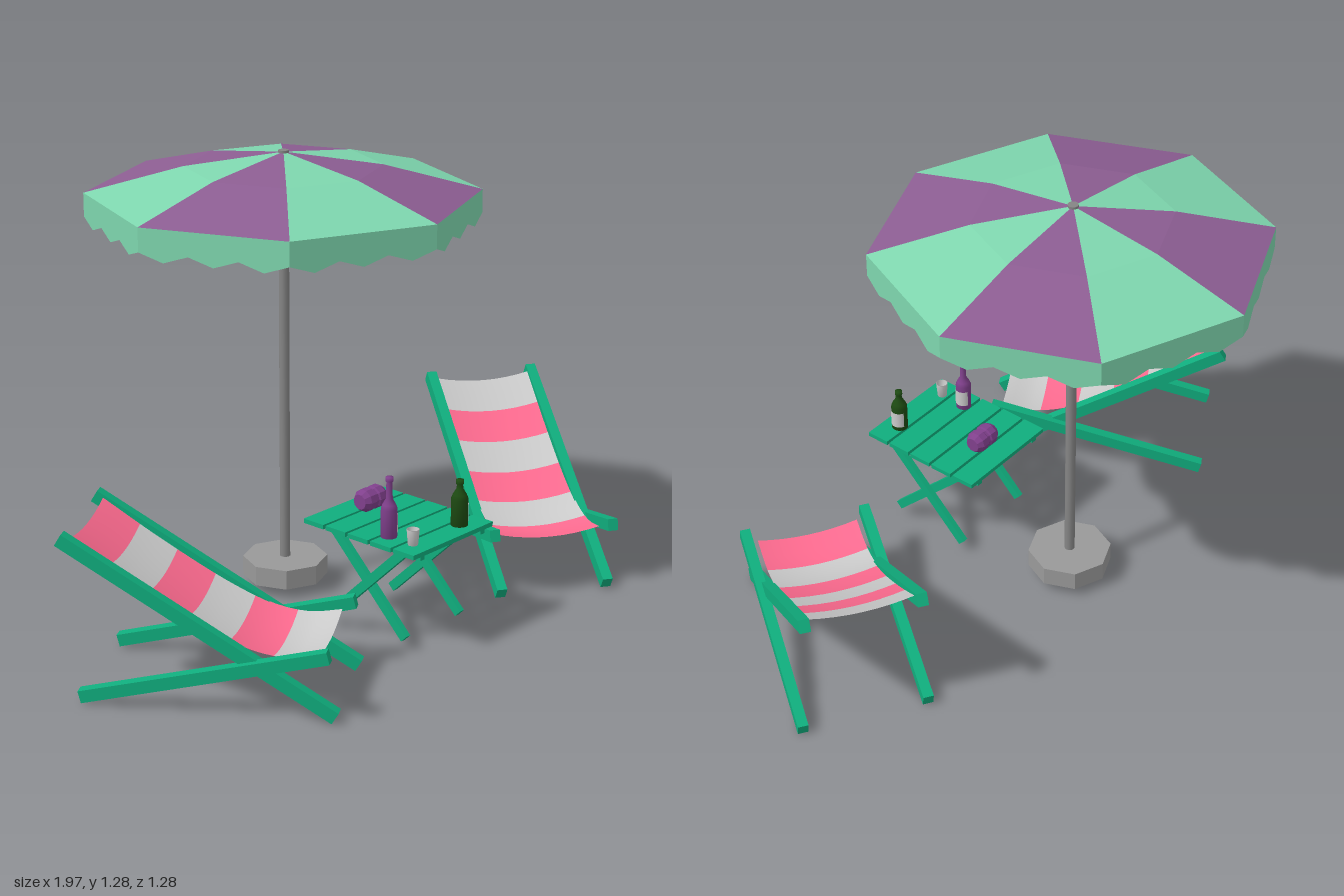
import * as THREE from 'three';
import { ParametricGeometry } from 'three/addons/geometries/ParametricGeometry.js';

const mat = (color, opts = {}) => new THREE.MeshStandardMaterial({ color, ...opts });
const flat = { flatShading: true };
const thin = { side: THREE.DoubleSide };
const M = {
  wood: mat(0x10ad7d, flat),
  mint: mat(0x7ed6ae, { ...flat, ...thin }),
  purple: mat(0x8c5d92, { ...flat, ...thin }),
  metal: mat(0x858585),
  stone: mat(0x999999, flat),
  grey: mat(0xcccccc, thin),
  pink: mat(0xff6b90, thin),
  plum: mat(0x80408c),
  plumFlat: mat(0x80408c, flat),
  bottleGreen: mat(0x1d4a12),
  cork: mat(0x4a3520),
};

const V = (x, y, z) => new THREE.Vector3(x, y, z);

function add(parent, name, geometry, material, x = 0, y = 0, z = 0) {
  const mesh = new THREE.Mesh(geometry, material);
  mesh.name = name;
  mesh.position.set(x, y, z);
  parent.add(mesh);
  return mesh;
}

// Square-section bar running between two points
function bar(parent, name, a, b, w, h) {
  const mesh = add(parent, name, new THREE.BoxGeometry(w, h, a.distanceTo(b)), M.wood);
  mesh.position.copy(a).add(b).multiplyScalar(0.5);
  mesh.lookAt(b);
  return mesh;
}

// Triangles given as a list of points
function facets(points) {
  const g = new THREE.BufferGeometry().setFromPoints(points);
  g.computeVertexNormals();
  return g;
}

function createUmbrella() {
  const g = new THREE.Group();
  g.name = 'umbrella';
  add(g, 'base', new THREE.CylinderGeometry(0.122, 0.122, 0.057, 8), M.stone, 0, 0.065, 0);
  add(g, 'pole', new THREE.CylinderGeometry(0.015, 0.015, 1.25, 12), M.metal, 0, 0.665, 0);

  const R = 0.55, rimY = 1.175, scallops = 3;
  for (let i = 0; i < 8; i++) {
    const a0 = (i * Math.PI) / 4, a1 = a0 + Math.PI / 4;
    const at = (a, r, y) => V(r * Math.sin(a), y, r * Math.cos(a));
    const apex = V(0, 1.285, 0);
    const m0 = at(a0, 0.275, 1.247), m1 = at(a1, 0.275, 1.247);
    const r0 = at(a0, R, rimY), r1 = at(a1, R, rimY);
    add(g, 'canopyPanel', facets([apex, m0, m1, m0, r0, r1, m0, r1, m1]), i % 2 ? M.mint : M.purple);

    // Hanging scalloped edge
    const pts = [], n = scallops * 2;
    for (let j = 0; j < n; j++) {
      const t0 = r0.clone().lerp(r1, j / n), t1 = r0.clone().lerp(r1, (j + 1) / n);
      const b0 = t0.clone().setY(j % 2 ? 1.085 : 1.108);
      const b1 = t1.clone().setY(j % 2 ? 1.108 : 1.085);
      pts.push(t0, b0, b1, t0, b1, t1);
    }
    add(g, 'valance', facets(pts), M.mint);
  }
  return g;
}

// Deck chair facing +z
function createDeckChair(name, evenStripe, oddStripe) {
  const g = new THREE.Group();
  g.name = name;
  for (const s of [-1, 1]) {
    bar(g, 'longRail', V(s * 0.16, 0.022, 0.36), V(s * 0.16, 0.45, -0.36), 0.03, 0.036);
    bar(g, 'supportRail', V(s * 0.178, 0.195, 0.345), V(s * 0.178, 0.025, -0.31), 0.03, 0.034);
  }
  // Sagging cloth in six stripes, from head to front
  const path = new THREE.CatmullRomCurve3([
    V(0, 0.448, -0.335), V(0, 0.34, -0.17), V(0, 0.23, 0.02),
    V(0, 0.18, 0.14), V(0, 0.168, 0.23), V(0, 0.182, 0.315),
  ]);
  for (let i = 0; i < 6; i++) {
    const cloth = new ParametricGeometry((u, v, p) => {
      path.getPointAt(Math.min(1, (i + v) / 6), p);
      const k = 2 * u - 1;
      p.x = k * 0.148;
      p.y -= 0.018 * (1 - k * k);
    }, 8, 4);
    add(g, 'clothStripe', cloth, i % 2 ? oddStripe : evenStripe);
  }
  return g;
}

function createBottle(name, glass, bodyTop, height, r) {
  const g = new THREE.Group();
  g.name = name;
  const profile = [
    [0, 0], [r, 0], [r, bodyTop], [r * 0.8, bodyTop + 0.012], [0.0095, bodyTop + 0.028],
    [0.0085, height - 0.012], [0.011, height - 0.012], [0.011, height], [0, height],
  ].map(([x, y]) => new THREE.Vector2(x, y));
  add(g, 'glass', new THREE.LatheGeometry(profile, 14), glass);
  // Paper label wrapped over one side
  add(g, 'label', new THREE.CylinderGeometry(r + 0.001, r + 0.001, 0.05, 10, 1, true, Math.PI * 0.1, Math.PI * 0.8),
    M.grey, 0, bodyTop * 0.5, 0);
  return g;
}

function createTable() {
  const g = new THREE.Group();
  g.name = 'table';
  // Slatted top
  for (let i = 0; i < 5; i++) {
    add(g, 'slat', new THREE.BoxGeometry(0.335, 0.013, 0.072), M.wood, 0, 0.312, (i - 2) * 0.081);
  }
  // Under-top battens and crossed legs
  for (const s of [-1, 1]) {
    add(g, 'batten', new THREE.BoxGeometry(0.018, 0.014, 0.39), M.wood, s * 0.127, 0.3, 0);
    bar(g, 'leg', V(s * 0.132, 0.3, 0.135), V(s * 0.132, 0.042, -0.13), 0.017, 0.026);
    bar(g, 'crossLeg', V(s * 0.115, 0.3, -0.135), V(s * 0.115, 0.042, 0.13), 0.017, 0.026);
  }
  return g;
}

export function createModel() {
  const model = new THREE.Group();
  model.name = 'patioSet';
  const place = (part, x, y, z, turn = 0) => {
    part.position.set(x, y, z);
    part.rotation.y = turn;
    model.add(part);
  };

  place(createUmbrella(), -0.03, 0, -0.1);
  place(createDeckChair('leftDeckChair', M.grey, M.pink), 0.636, 0, 0.22, -0.58);
  place(createDeckChair('rightDeckChair', M.pink, M.grey), -0.642, 0, 0.22, 0.54);
  place(createTable(), -0.032, 0, 0.33);

  // Things on the table
  const top = 0.318;
  place(createBottle('tallBottle', M.plum, 0.082, 0.172, 0.023), -0.14, top, 0.39);
  place(createBottle('shortBottle', M.bottleGreen, 0.078, 0.132, 0.024), 0.055, top, 0.475);

  const cup = [[0, 0.002], [0.014, 0], [0.018, 0.045], [0.016, 0.045], [0.012, 0.004], [0, 0.004]]
    .map(([x, y]) => new THREE.Vector2(x, y));
  add(model, 'cup', new THREE.LatheGeometry(cup, 12), M.grey, -0.14, top, 0.475);

  // Barrel-shaped roll lying on its side
  const roll = [[0, -0.046], [0.022, -0.046], [0.033, -0.03], [0.033, -0.008], [0.029, -0.004],
    [0.029, 0.004], [0.033, 0.008], [0.033, 0.03], [0.022, 0.046], [0, 0.046]]
    .map(([x, y]) => new THREE.Vector2(x, y));
  const lying = add(model, 'tableRoll', new THREE.LatheGeometry(roll, 10), M.plumFlat, -0.022, top + 0.034, 0.22);
  lying.rotation.z = Math.PI / 2;

  return model;
}
